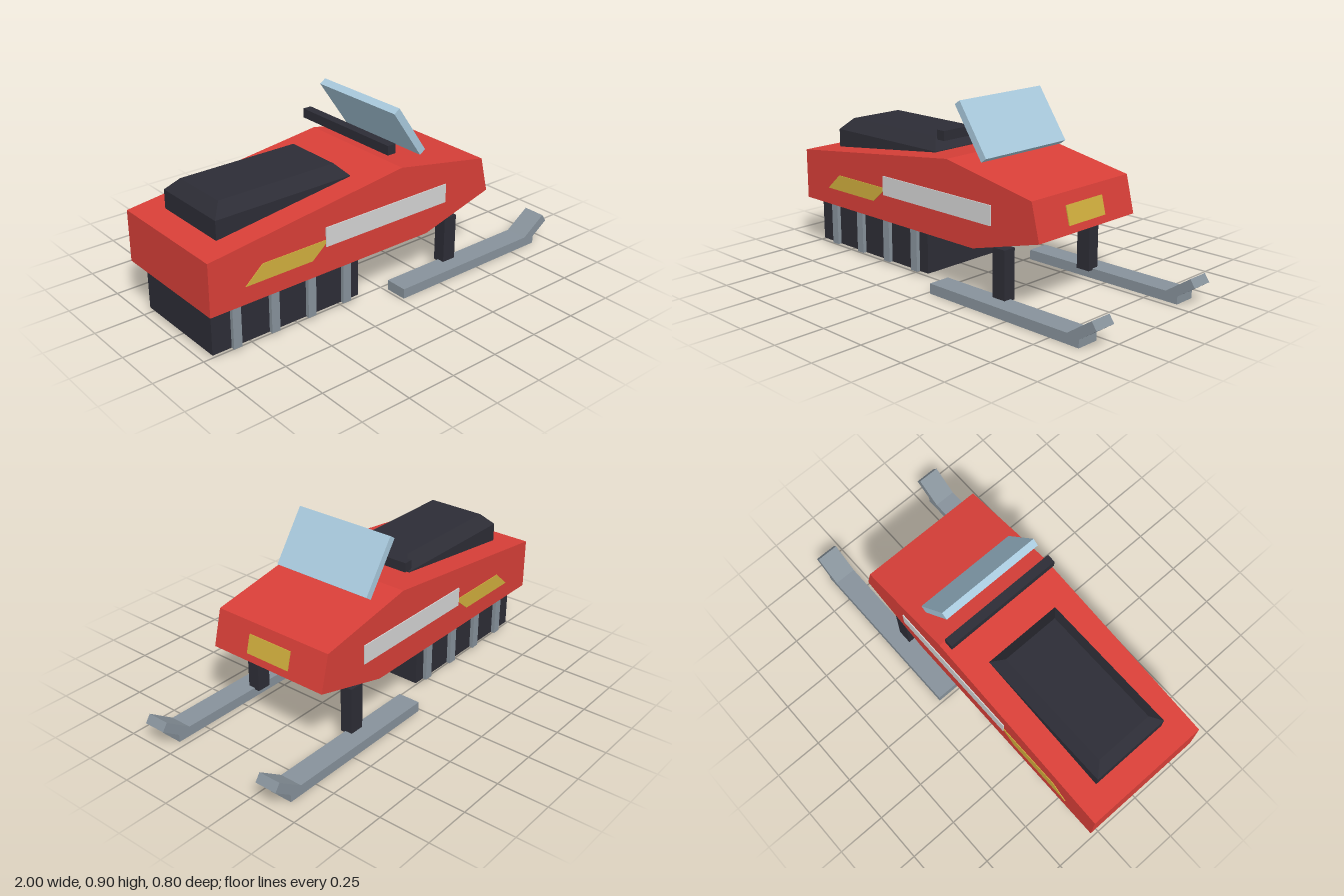
import * as THREE from 'three';

const mat = (name, color, side = THREE.FrontSide) => {
  const m = new THREE.MeshStandardMaterial({ color, side });
  m.name = name;
  return m;
};

export function createModel() {
  const red = mat('red paint', 0xd83f38);
  const black = mat('black rubber', 0x2d2d36);
  const steel = mat('grey steel', 0x87929b, THREE.DoubleSide);
  const silver = mat('silver stripe', 0xd4d4d4);
  const yellow = mat('yellow', 0xd0ae3d);
  const glass = mat('pale blue glass', 0xa8c9dc);

  const model = new THREE.Group();
  model.name = 'snowmobile';

  const add = (name, geometry, material) => {
    const mesh = new THREE.Mesh(geometry, material);
    mesh.name = name;
    model.add(mesh);
    return mesh;
  };
  // Box given by its limits on each axis
  const box = (name, material, [x0, x1], [y0, y1], [z0, z1]) => {
    const mesh = add(name, new THREE.BoxGeometry(x1 - x0, y1 - y0, z1 - z0), material);
    mesh.position.set((x0 + x1) / 2, (y0 + y1) / 2, (z0 + z1) / 2);
    return mesh;
  };
  // Side profile extruded along z, centred on z
  const extrude = (name, material, points, depth, z = 0) => {
    const shape = new THREE.Shape(points.map(([x, y]) => new THREE.Vector2(x, y)));
    const geometry = new THREE.ExtrudeGeometry(shape, { depth, bevelEnabled: false });
    geometry.translate(0, 0, z - depth / 2);
    return add(name, geometry, material);
  };

  // Wedge-shaped body
  extrude('body', red, [
    [-1, 0.25], [0.22, 0.25], [0.62, 0.36], [0.575, 0.54], [0.055, 0.635], [-1, 0.505],
  ], 0.65);

  // Seat: a box with a bevelled cushion on top
  const seatX = [-0.875, -0.15];
  box('seatBase', black, seatX, [0.49, 0.613], [-0.203, 0.203]);
  const cushion = new THREE.BoxGeometry(0.725, 0.057, 0.406);
  const p = cushion.attributes.position;
  for (let i = 0; i < p.count; i++) {
    if (p.getY(i) > 0) {
      p.setX(i, p.getX(i) - Math.sign(p.getX(i)) * 0.054);
      p.setZ(i, p.getZ(i) - Math.sign(p.getZ(i)) * 0.054);
    }
  }
  cushion.computeVertexNormals();
  add('seatCushion', cushion, black).position.set(-0.5125, 0.6415, 0);

  // Handlebar and windshield
  box('handlebar', black, [-0.02, 0.025], [0.71, 0.756], [-0.31, 0.31]);
  const shield = add('windshield', new THREE.BoxGeometry(0.037, 0.293, 0.536), glass);
  shield.position.set(0.151, 0.767, 0);
  shield.rotation.z = 0.602;

  // Headlight lying on the sloped nose
  const lamp = add('headlight', new THREE.BoxGeometry(0.009, 0.092, 0.245), yellow);
  lamp.position.set(0.601, 0.44, 0);
  lamp.rotation.z = Math.atan2(0.045, 0.18);

  // Drive track
  box('track', black, [-0.96, -0.15], [0.02, 0.26], [-0.26, 0.26]);

  for (const s of [1, -1]) {
    const side = s > 0 ? 'left' : 'right';
    const span = (a, b) => (s > 0 ? [a, b] : [-b, -a]);

    // Track lugs
    for (let i = 0; i < 4; i++) {
      const x = -0.84 + i * 0.2033;
      box(side + 'TrackLug', steel, [x - 0.022, x + 0.022], [0.02, 0.25], span(0.25, 0.28));
    }

    // Side stripes
    box(side + 'SilverStripe', silver, [-0.39, 0.335], [0.38, 0.475], span(0.321, 0.33));
    extrude(side + 'YellowStripe', yellow, [
      [-0.82, 0.335], [-0.465, 0.335], [-0.37, 0.415], [-0.73, 0.415],
    ], 0.007, s * 0.3245);

    // Ski strut
    box(side + 'Strut', black, [0.343, 0.418], [0.042, 0.285], span(0.259, 0.323));

    // Ski: a channel open at the bottom, with an upturned tip
    const ski = box(side + 'Ski', steel, [0.015, 0.91], [0, 0.05], span(0.286, 0.4));
    const index = Array.from(ski.geometry.index.array);
    index.splice(18, 6);
    ski.geometry.setIndex(index);
    const tip = add(side + 'SkiTip', new THREE.BoxGeometry(0.17, 0.046, 0.114), steel);
    tip.position.set(0.917, 0.071, s * 0.343);
    tip.rotation.z = 0.6;
  }
  // Flat faces on the bevelled cushion come from its separate box sides
  return model;
}
